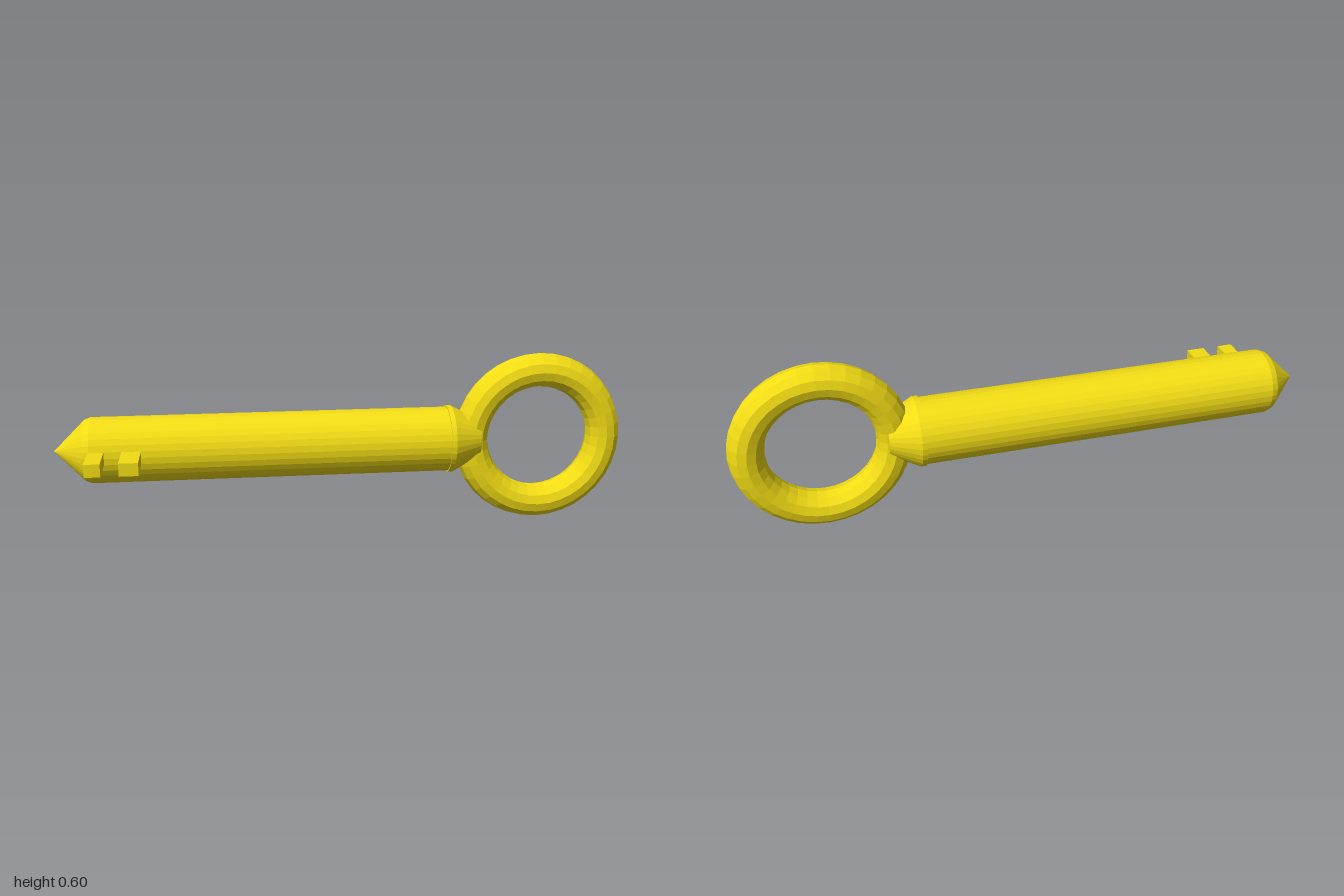
import * as THREE from 'three';

const AXIS_Y = 0.303, AXIS_Z = -0.063;

export function createModel() {
  const model = new THREE.Group();
  const material = new THREE.MeshStandardMaterial({ color: 0xf2dc14, flatShading: true });

  const add = (name, geometry, x, y, z) => {
    const mesh = new THREE.Mesh(geometry, material);
    mesh.name = name;
    mesh.position.set(x, y, z);
    model.add(mesh);
  };

  // Turned part along x, from [x, radius] pairs
  const turned = (name, profile) => {
    const points = profile.map(([x, r]) => new THREE.Vector2(r, x));
    const geometry = new THREE.LatheGeometry(points, 32).rotateZ(-Math.PI / 2);
    add(name, geometry, 0, AXIS_Y, AXIS_Z);
  };

  // Round shaft with a pointed tip and softened shoulder
  turned('shaft', [[-1, 0], [-0.895, 0.105], [-0.872, 0.114], [0.37, 0.114], [0.37, 0]]);

  // Collar tapering into the ring
  turned('collar', [[0.365, 0], [0.365, 0.119], [0.382, 0.119], [0.482, 0.066], [0.482, 0]]);

  // Ring handle
  add('ringHandle', new THREE.TorusGeometry(0.242, 0.06, 12, 36), 0.698, AXIS_Y, AXIS_Z);

  // Two teeth projecting from the front of the shaft
  for (const [name, x, width] of [['outerTooth', -0.849, 0.053], ['innerTooth', -0.732, 0.064]]) {
    add(name, new THREE.BoxGeometry(width, 0.044, 0.24), x, AXIS_Y, 0.062);
  }

  return model;
}
